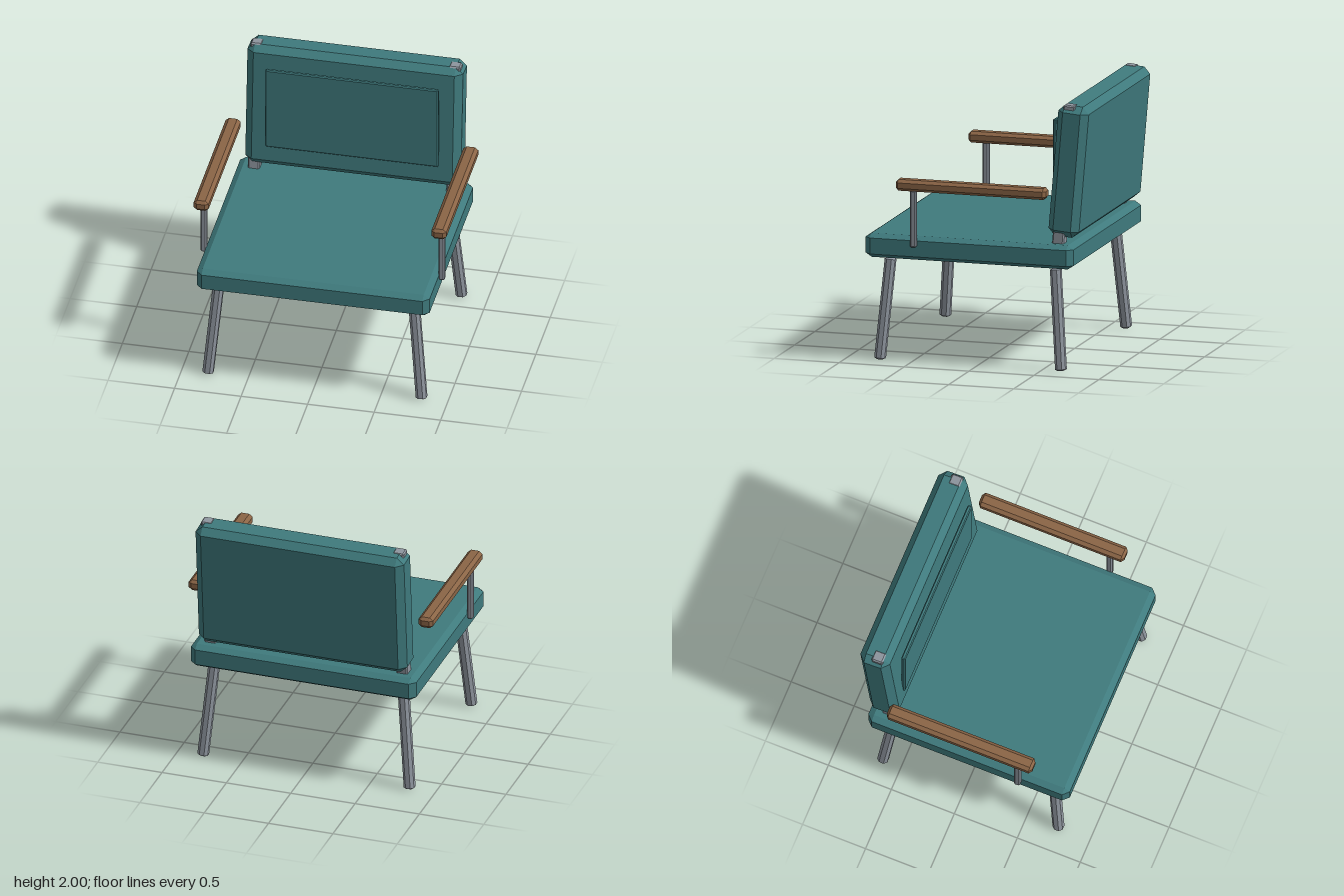
import * as THREE from 'three';
import { ConvexGeometry } from 'three/addons/geometries/ConvexGeometry.js';

const fabric = new THREE.MeshStandardMaterial({ color: 0x3f7a7d, flatShading: true });
const wood = new THREE.MeshStandardMaterial({ color: 0x8b6546, flatShading: true });
const metal = new THREE.MeshStandardMaterial({ color: 0x8f969f, flatShading: true });

// Box with all edges and corners chamfered by cx, cy, cz along each axis
function chamferBox(w, h, d, cx, cy = cx, cz = cx) {
  const points = [];
  for (const sx of [-1, 1]) for (const sy of [-1, 1]) for (const sz of [-1, 1]) {
    const [x, y, z] = [w / 2, h / 2, d / 2];
    points.push(
      new THREE.Vector3(sx * x, sy * (y - cy), sz * (z - cz)),
      new THREE.Vector3(sx * (x - cx), sy * y, sz * (z - cz)),
      new THREE.Vector3(sx * (x - cx), sy * (y - cy), sz * z)
    );
  }
  return new ConvexGeometry(points);
}

export function createModel() {
  const chair = new THREE.Group();
  chair.name = 'armchair';

  function add(name, geometry, material, x, y, z, tilt = 0) {
    const mesh = new THREE.Mesh(geometry, material);
    mesh.name = name;
    mesh.position.set(x, y, z);
    mesh.rotation.x = tilt;
    chair.add(mesh);
    return mesh;
  }

  const lean = -0.085;

  // Cushions
  add('seat', chamferBox(1.75, 0.18, 1.6, 0.045, 0.03, 0.045), fabric, 0, 0.865, 0.048);
  add('backrest', chamferBox(1.62, 0.99, 0.235, 0.055, 0.05, 0.05), fabric, 0, 1.497, -0.691, lean);
  add('backPanel', chamferBox(1.3, 0.675, 0.032, 0.008), fabric, 0, 1.52, -0.551);

  const up = new THREE.Vector3(0, 1, 0);
  for (const side of [1, -1]) {
    const label = side > 0 ? 'left' : 'right';

    // Posts that carry the backrest
    add(label + 'BackPost', chamferBox(0.088, 1.09, 0.09, 0.01), metal, side * 0.745, 1.453, -0.658, lean);

    // Armrest and its support
    add(label + 'Armrest', chamferBox(0.113, 0.085, 1.155, 0.026, 0.022, 0.02), wood, side * 0.893, 1.348, 0.01);
    add(label + 'ArmSupport', chamferBox(0.046, 0.43, 0.048, 0.01), metal, side * 0.894, 1.097, 0.46);

    // Splayed legs
    for (const [end, topZ, footZ] of [['Front', 0.685, 0.747], ['Back', -0.585, -0.647]]) {
      const top = new THREE.Vector3(side * 0.735, 0.76, topZ);
      const foot = new THREE.Vector3(side * 0.803, 0.004, footZ);
      const axis = top.clone().sub(foot);
      const mid = top.clone().add(foot).multiplyScalar(0.5);
      const leg = add(label + end + 'Leg', chamferBox(0.08, axis.length(), 0.08, 0.022, 0.012, 0.022), metal, mid.x, mid.y, mid.z);
      leg.quaternion.setFromUnitVectors(up, axis.normalize());
    }
  }
  return chair;
}
